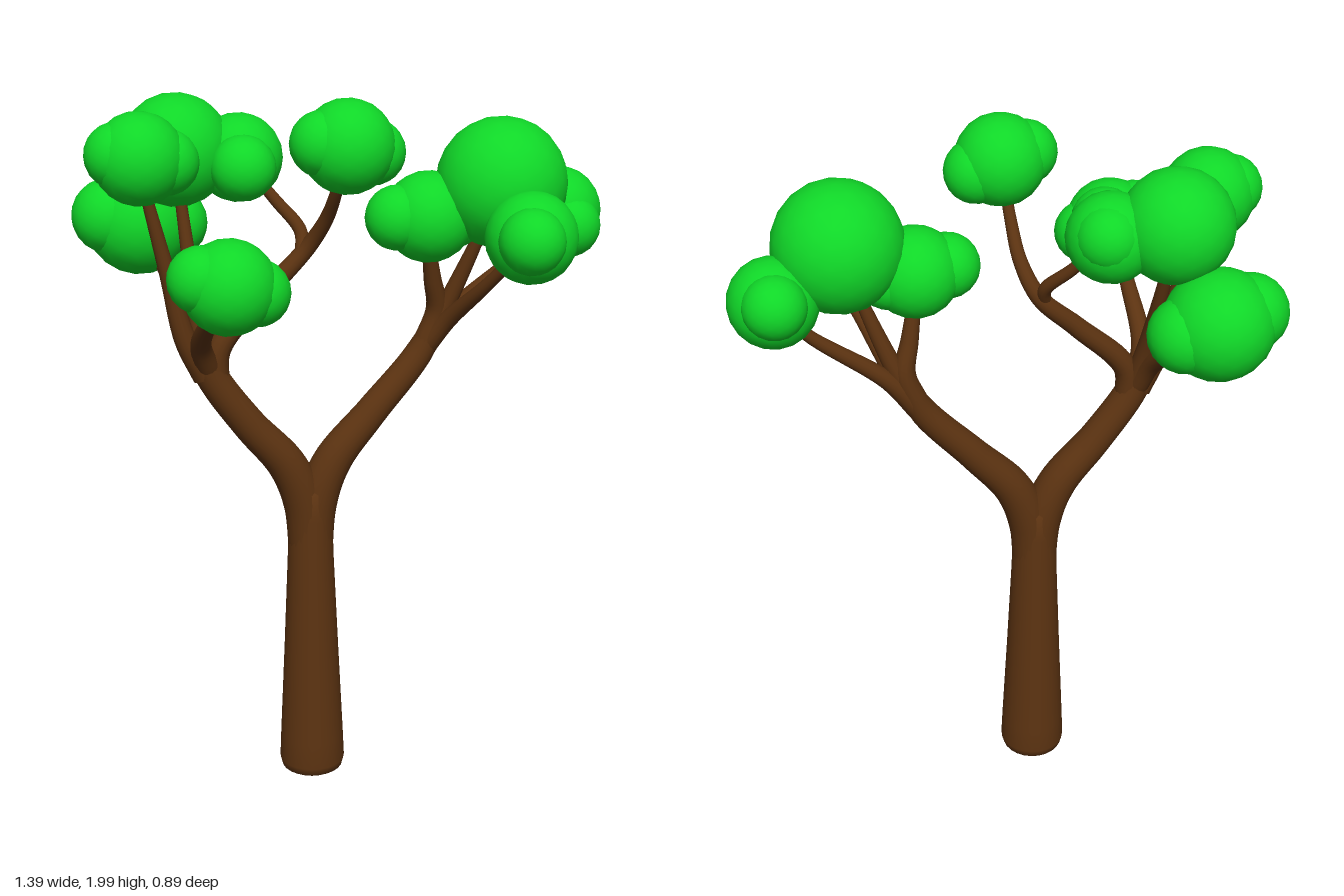
import * as THREE from 'three';

const bark = new THREE.MeshStandardMaterial({ color: 0x5c3311 });
const leaf = new THREE.MeshStandardMaterial({ color: 0x10d828 });

// Tapered tube: points are [x, y, z, radius]
function limb(name, points, sides = 14) {
  const curve = new THREE.CatmullRomCurve3(points.map(p => new THREE.Vector3(p[0], p[1], p[2])));
  const rings = (points.length - 1) * 7;
  const geo = new THREE.TubeGeometry(curve, rings, 1, sides, false);
  const pos = geo.attributes.position;
  const v = new THREE.Vector3();
  for (let i = 0; i <= rings; i++) {
    const u = i / rings;
    const c = curve.getPointAt(u);
    const t = curve.getUtoTmapping(u) * (points.length - 1);
    const k = Math.min(Math.floor(t), points.length - 2);
    const r = THREE.MathUtils.lerp(points[k][3], points[k + 1][3], t - k);
    for (let j = 0; j <= sides; j++) {
      const n = i * (sides + 1) + j;
      v.fromBufferAttribute(pos, n).sub(c).multiplyScalar(r).add(c);
      pos.setXYZ(n, v.x, v.y, v.z);
    }
  }
  geo.computeBoundingSphere();
  const mesh = new THREE.Mesh(geo, bark);
  mesh.name = name;
  return mesh;
}

// Leaf clump: a main ball with smaller lobes; each ball is [x, y, z, radius]
const ball = new THREE.IcosahedronGeometry(1, 3);
function clump(name, balls) {
  const group = new THREE.Group();
  group.name = name;
  balls.forEach(([x, y, z, r], i) => {
    const mesh = new THREE.Mesh(ball, leaf);
    mesh.name = i ? 'leafLobe' : 'leafBall';
    mesh.position.set(x, y, z);
    mesh.scale.setScalar(r);
    group.add(mesh);
  });
  return group;
}

export function createModel() {
  const tree = new THREE.Group();
  tree.name = 'tree';

  // Trunk with a rounded foot
  const profile = [[0, 0.01], [0.07, 0.012], [0.086, 0.022], [0.092, 0.045], [0.089, 0.12], [0.076, 0.4],
    [0.064, 0.68], [0.061, 0.8], [0.055, 0.88], [0, 0.93]];
  const trunk = new THREE.Mesh(
    new THREE.LatheGeometry(profile.map(p => new THREE.Vector2(...p)), 24), bark);
  trunk.name = 'trunk';
  trunk.position.set(-0.115, 0, 0.003);
  tree.add(trunk);

  // Main fork
  tree.add(
    limb('leftMainLimb', [[-0.115, 0.68, 0.003, 0.06], [-0.098, 0.84, 0.003, 0.058], [-0.05, 0.96, 0.003, 0.053],
      [0.06, 1.09, 0.002, 0.044], [0.2, 1.255, 0, 0.038], [0.25, 1.37, 0, 0.022]], 20),
    limb('rightMainLimb', [[-0.115, 0.68, 0.003, 0.06], [-0.132, 0.84, 0.003, 0.058], [-0.18, 0.96, 0.003, 0.053],
      [-0.285, 1.09, 0.002, 0.046], [-0.385, 1.24, 0, 0.043], [-0.42, 1.34, 0, 0.022]], 20));

  // Branches of the left crown
  const leftBranches = [
    [[0.21, 1.27, 0, 0.034], [0.243, 1.37, 0.005, 0.03], [0.225, 1.46, 0.02, 0.024], [0.2, 1.6, 0.045, 0.016]],
    [[0.22, 1.28, 0, 0.032], [0.275, 1.4, 0.015, 0.025], [0.34, 1.57, 0.05, 0.017], [0.37, 1.66, 0.07, 0.014]],
    [[0.2, 1.25, 0, 0.034], [0.29, 1.36, 0, 0.025], [0.49, 1.52, 0.005, 0.017], [0.56, 1.6, 0.01, 0.014]],
    [[0.215, 1.27, 0, 0.032], [0.265, 1.35, 0.04, 0.025], [0.33, 1.47, 0.15, 0.018], [0.4, 1.6, 0.25, 0.014]],
  ];
  leftBranches.forEach((b, i) => tree.add(limb(`leftBranch${i + 1}`, b)));

  // Branches of the right crown
  const rightBranches = [
    [[-0.37, 1.2, 0, 0.036], [-0.36, 1.31, -0.002, 0.032], [-0.22, 1.46, -0.01, 0.027], [-0.115, 1.565, -0.012, 0.023],
      [-0.076, 1.65, 0.035, 0.019], [-0.065, 1.74, 0.1, 0.016], [-0.06, 1.83, 0.155, 0.014]],
    [[-0.13, 1.55, -0.012, 0.018], [-0.125, 1.605, -0.04, 0.018], [-0.18, 1.68, -0.09, 0.016], [-0.25, 1.77, -0.13, 0.013]],
    [[-0.4, 1.24, 0, 0.036], [-0.45, 1.34, 0, 0.03], [-0.49, 1.52, -0.01, 0.022], [-0.545, 1.77, -0.03, 0.014]],
    [[-0.39, 1.25, 0, 0.034], [-0.42, 1.34, 0.05, 0.028], [-0.415, 1.46, 0.18, 0.021], [-0.405, 1.55, 0.28, 0.015]],
    [[-0.39, 1.25, 0, 0.034], [-0.41, 1.38, -0.03, 0.027], [-0.42, 1.56, -0.09, 0.019], [-0.43, 1.73, -0.14, 0.014]],
    [[-0.39, 1.24, 0, 0.034], [-0.42, 1.34, -0.05, 0.027], [-0.46, 1.47, -0.2, 0.019], [-0.5, 1.56, -0.27, 0.014]],
  ];
  rightBranches.forEach((b, i) => tree.add(limb(`rightBranch${i + 1}`, b)));

  // Foliage of the left crown
  tree.add(
    clump('leftTopFoliage', [[0.393, 1.73, 0.08, 0.175]]),
    clump('leftInnerFoliage', [[0.2, 1.645, 0.055, 0.122], [0.113, 1.65, 0.06, 0.087], [0.27, 1.64, 0.05, 0.085]]),
    clump('leftOuterFoliage', [[0.575, 1.625, 0.015, 0.12], [0.58, 1.65, -0.053, 0.085], [0.585, 1.6, 0.085, 0.085]]),
    clump('leftFrontFoliage', [[0.41, 1.63, 0.27, 0.122], [0.382, 1.643, 0.35, 0.087], [0.44, 1.615, 0.2, 0.085]]));

  // Foliage of the right crown
  tree.add(
    clump('rightTopFoliage', [[-0.43, 1.815, -0.165, 0.15]]),
    clump('rightFrontFoliage', [[-0.4, 1.58, 0.32, 0.122], [-0.47, 1.605, 0.32, 0.086], [-0.33, 1.56, 0.32, 0.086]]),
    clump('middleFoliage', [[-0.055, 1.878, 0.175, 0.122], [-0.122, 1.89, 0.18, 0.085], [0.013, 1.857, 0.165, 0.085]]),
    clump('rightOuterFoliage', [[-0.55, 1.828, -0.04, 0.122], [-0.605, 1.84, -0.04, 0.087], [-0.48, 1.815, -0.04, 0.087]]),
    clump('rightBackFoliage', [[-0.51, 1.595, -0.298, 0.147], [-0.593, 1.615, -0.29, 0.102], [-0.422, 1.58, -0.305, 0.1]]),
    clump('rightInnerFoliage', [[-0.267, 1.79, -0.14, 0.118], [-0.25, 1.81, -0.175, 0.087], [-0.277, 1.785, -0.042, 0.087]]));

  return tree;
}
